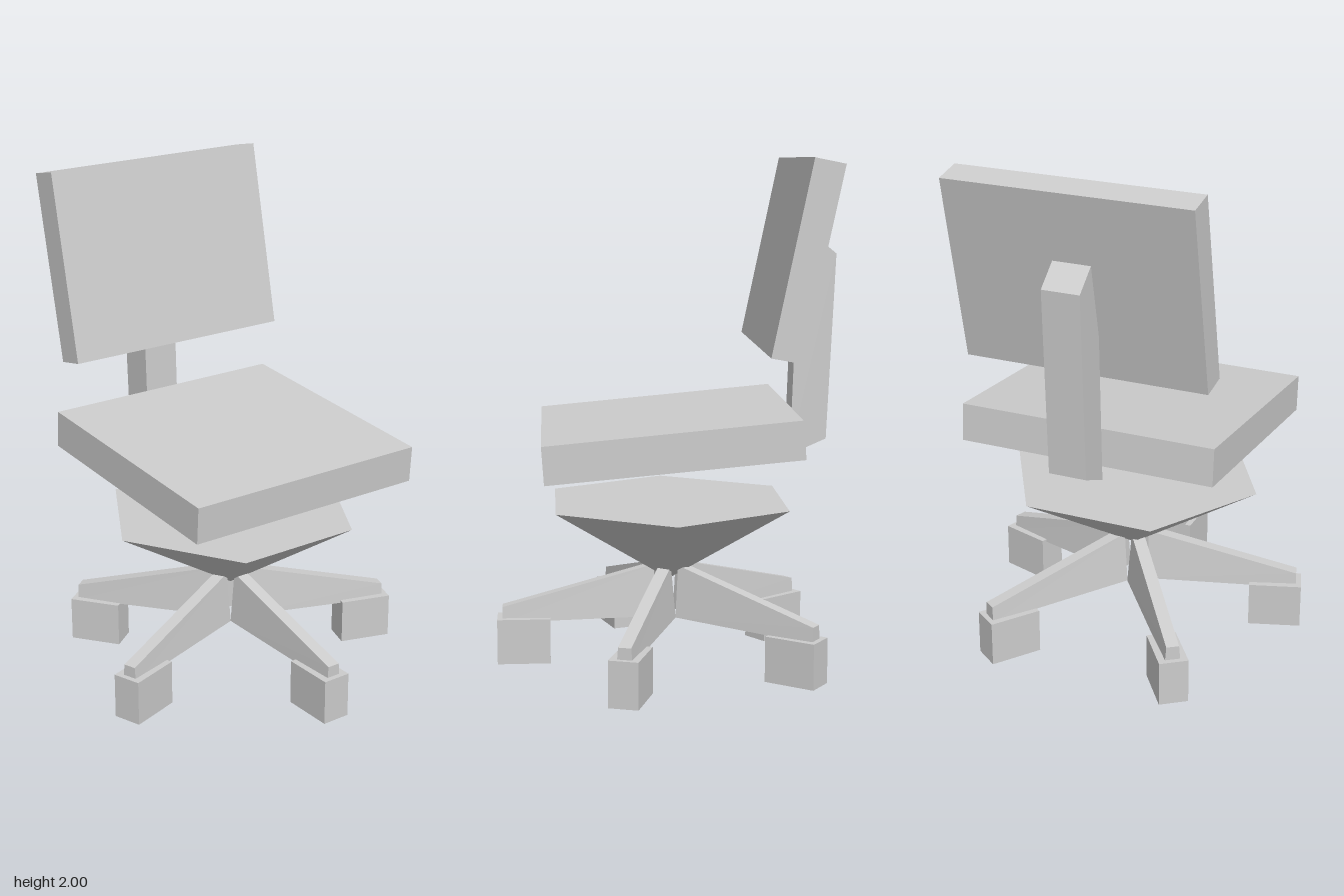
import * as THREE from 'three';

const grey = new THREE.MeshStandardMaterial({ color: 0xcccccc, flatShading: true });

function addMesh(parent, name, geometry) {
  const mesh = new THREE.Mesh(geometry, grey);
  mesh.name = name;
  parent.add(mesh);
  return mesh;
}

// Side profile of [z, y] points, extruded across x and centred on it.
function slab(profile, width) {
  const shape = new THREE.Shape(profile.map(([z, y]) => new THREE.Vector2(-z, y)));
  return new THREE.ExtrudeGeometry(shape, { depth: width, bevelEnabled: false })
    .translate(0, 0, -width / 2)
    .rotateY(Math.PI / 2);
}

// Tapered leg running along +z, with a trapezoid section at both ends.
function legGeometry() {
  const inner = { z: 0.06, top: 0.40, bottom: 0.192, topHalf: 0.025, bottomHalf: 0.044 };
  const outer = { z: 0.662, top: 0.235, bottom: 0.172, topHalf: 0.025, bottomHalf: 0.03 };
  const geometry = new THREE.BoxGeometry(2, 2, 2);
  const p = geometry.attributes.position;
  for (let i = 0; i < p.count; i++) {
    const end = p.getZ(i) > 0 ? outer : inner;
    const up = p.getY(i) > 0;
    p.setXYZ(i, p.getX(i) * (up ? end.topHalf : end.bottomHalf), up ? end.top : end.bottom, end.z);
  }
  geometry.computeVertexNormals();
  return geometry;
}

export function createModel() {
  const chair = new THREE.Group();
  chair.name = 'officeChair';

  // Tilted cushion, leaning backrest and the post joining them
  addMesh(chair, 'seat', slab([[0.483, 0.96], [-0.478, 1.047], [-0.49, 0.9], [0.473, 0.815]], 1.024));
  addMesh(chair, 'backrest', slab([[-0.512, 2], [-0.627, 1.977], [-0.473, 1.252], [-0.36, 1.273]], 0.966));
  addMesh(chair, 'backPost', slab([[-0.49, 0.845], [-0.632, 0.907], [-0.664, 1.632], [-0.52, 1.75]], 0.15));

  const base = new THREE.Group();
  base.name = 'base';
  base.position.z = -0.018;
  chair.add(base);

  // Six-sided inverted pyramid under the seat
  const height = 0.32;
  const support = addMesh(base, 'seatSupport',
    new THREE.CylinderGeometry(0.518, 0, height, 6).rotateY(Math.PI / 6));
  support.position.y = 0.655 - height / 2;

  // Five legs, each ending in a block caster
  const leg = legGeometry();
  const caster = new THREE.BoxGeometry(0.115, 0.18, 0.21).translate(0, 0.09, 0.578);
  for (let i = 0; i < 5; i++) {
    const arm = new THREE.Group();
    arm.name = 'arm' + (i + 1);
    arm.rotation.y = (i * 2 * Math.PI) / 5;
    base.add(arm);
    addMesh(arm, 'leg', leg);
    addMesh(arm, 'caster', caster).position.y = i === 2 || i === 3 ? 0 : 0.01;
  }
  return chair;
}
